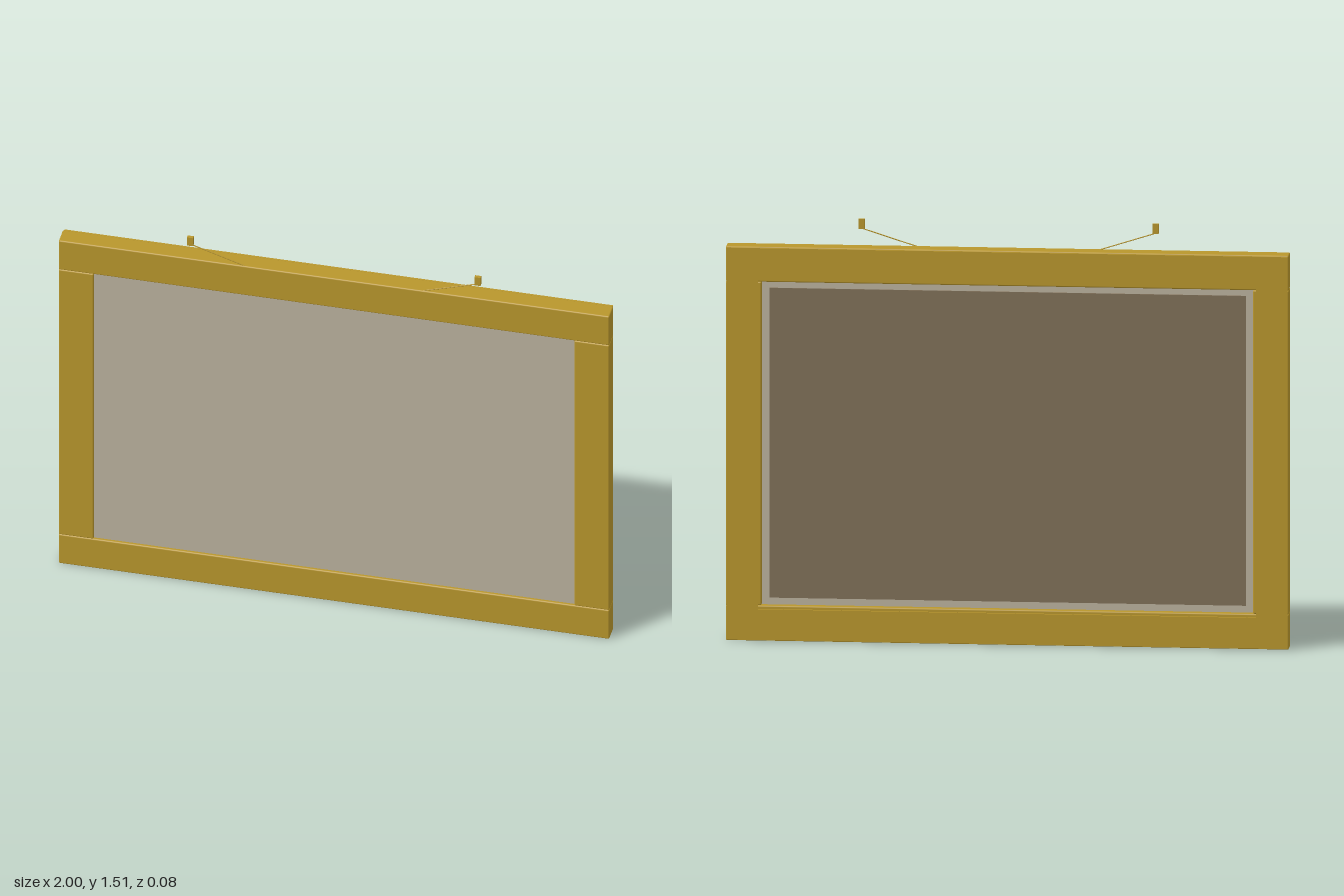
import * as THREE from 'three';
import { RoundedBoxGeometry } from 'three/addons/geometries/RoundedBoxGeometry.js';

const gold = new THREE.MeshStandardMaterial({ color: 0xb8962c });
const canvasGrey = new THREE.MeshStandardMaterial({ color: 0xbbb29e });
const brown = new THREE.MeshStandardMaterial({ color: 0x807058 });

const H = 1.42, RAIL = 0.127, MID = H / 2;

export function createModel() {
  const group = new THREE.Group();

  function add(name, geometry, material, x, y, z) {
    const mesh = new THREE.Mesh(geometry, material);
    mesh.name = name;
    mesh.position.set(x, y, z);
    group.add(mesh);
    return mesh;
  }

  // Front mouldings: full-width rails with the stiles fitted between them
  const depth = 0.067, zFront = 0.0045;
  const rail = new RoundedBoxGeometry(2, RAIL, depth, 2, 0.005);
  const stile = new RoundedBoxGeometry(RAIL, H - 2 * RAIL, depth, 2, 0.005);
  add('bottomRail', rail, gold, 0, RAIL / 2, zFront);
  add('topRail', rail, gold, 0, H - RAIL / 2, zFront);
  for (const s of [-1, 1]) {
    add(s > 0 ? 'leftStile' : 'rightStile', stile, gold, s * (1 - RAIL / 2), MID, zFront);
  }

  // Thin back lip, with a slightly wider opening than the front
  const rect = (Type, w, h) => new Type([
    new THREE.Vector2(-w, -h), new THREE.Vector2(w, -h),
    new THREE.Vector2(w, h), new THREE.Vector2(-w, h),
  ]);
  const lip = rect(THREE.Shape, 0.996, MID - 0.004);
  lip.holes.push(rect(THREE.Path, 0.885, 0.595));
  add('backLip', new THREE.ExtrudeGeometry(lip, { depth: 0.009, bevelEnabled: false }),
    gold, 0, MID, -0.038);

  // Picture panel and the backing board set inside its edge
  add('picturePanel', new THREE.BoxGeometry(1.75, 1.17, 0.03), canvasGrey, 0, MID, 0.012);
  add('backingBoard', new THREE.BoxGeometry(1.694, 1.116, 0.005), brown, 0, MID, -0.005);

  // Hanging wires running up from the top rail to small wall hooks
  for (const s of [-1, 1]) {
    const side = s > 0 ? 'left' : 'right';
    const path = new THREE.LineCurve3(
      new THREE.Vector3(s * 0.31, 1.414, 0.032), new THREE.Vector3(s * 0.525, 1.482, 0.032));
    add(side + 'Wire', new THREE.TubeGeometry(path, 1, 0.002, 6), gold, 0, 0, 0);
    add(side + 'Hook', new THREE.BoxGeometry(0.022, 0.035, 0.013), gold, s * 0.522, 1.497, 0.034);
  }
  return group;
}
